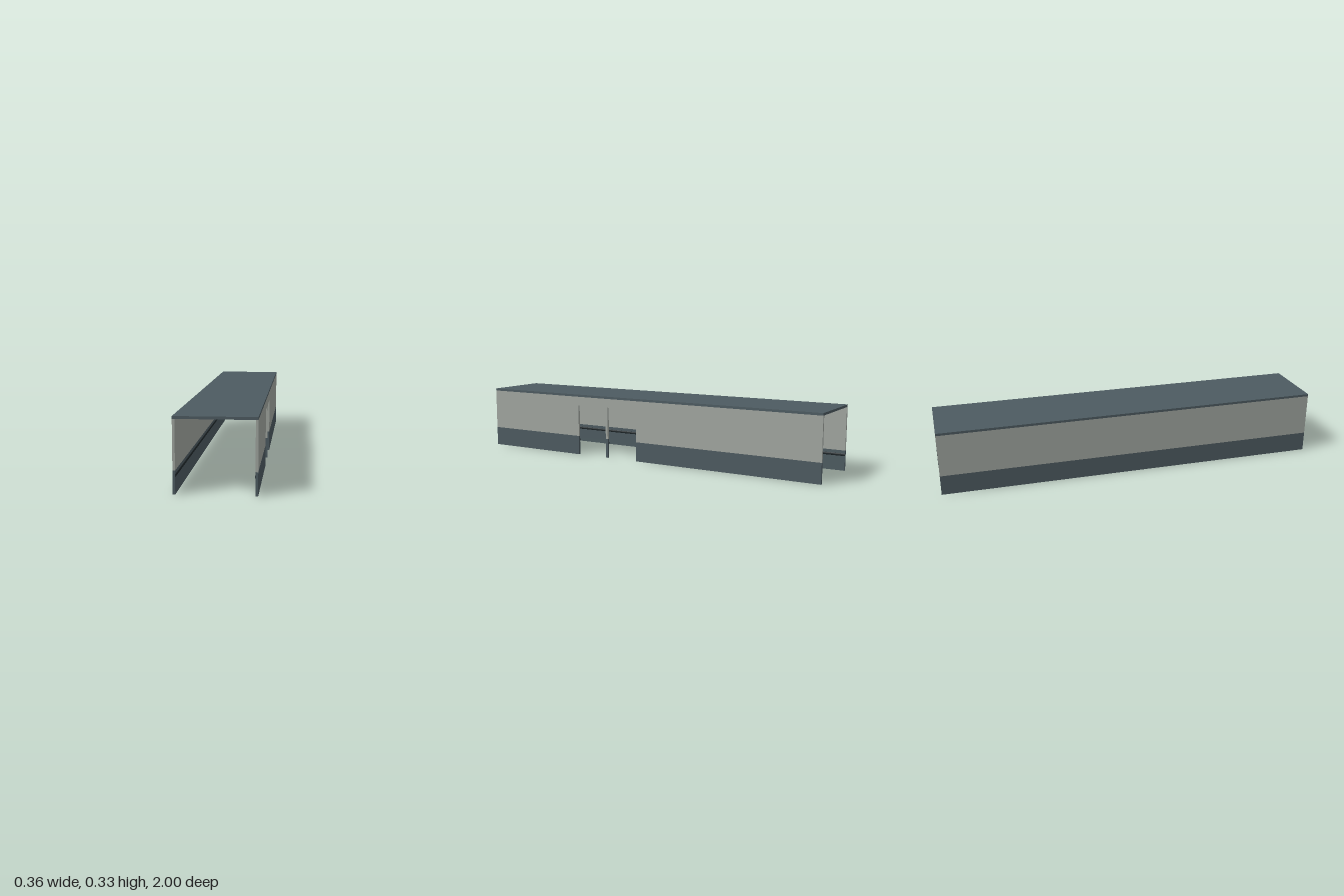
import * as THREE from 'three';

const HALF_W = 0.18, HALF_L = 1, WALL_T = 0.011;
const BAND_Y = 0.103, DOOR_Y = 0.275, ROOF_Y = 0.322, TOP_Y = 0.334;
const RAIL_Y = 0.081;
// Door openings along z, in the left wall
const DOORS = [[0.016, 0.198], [0.211, 0.393]];

function material(name, color) {
  const m = new THREE.MeshStandardMaterial({ color });
  m.name = name;
  return m;
}

export function createModel() {
  const slate = material('slate', 0x4d5b61);
  const pale = material('pale grey', 0xa1a6a0);
  const dark = material('dark rail', 0x20282b);
  const model = new THREE.Group();
  model.name = 'corridor';

  function add(parent, name, geometry, mat, x = 0, y = 0, z = 0) {
    const mesh = new THREE.Mesh(geometry, mat);
    mesh.name = name;
    mesh.position.set(x, y, z);
    parent.add(mesh);
    return mesh;
  }

  // Upper wall panel: an outline in z and y, notched by the doors
  function panelGeometry(doors) {
    const shape = new THREE.Shape();
    shape.moveTo(-HALF_L, BAND_Y);
    for (const [a, b] of doors) {
      shape.lineTo(a, BAND_Y);
      shape.lineTo(a, DOOR_Y);
      shape.lineTo(b, DOOR_Y);
      shape.lineTo(b, BAND_Y);
    }
    shape.lineTo(HALF_L, BAND_Y);
    shape.lineTo(HALF_L, ROOF_Y);
    shape.lineTo(-HALF_L, ROOF_Y);
    shape.closePath();
    const g = new THREE.ExtrudeGeometry(shape, { depth: WALL_T, bevelEnabled: false });
    g.translate(0, 0, -WALL_T / 2);
    g.rotateY(-Math.PI / 2);
    return g;
  }

  // A wall with its lower band and inner handrail, split between the doors
  function addWall(name, side, doors) {
    const wall = new THREE.Group();
    wall.name = name;
    model.add(wall);
    const x = side * (HALF_W - WALL_T / 2);
    add(wall, 'upperPanel', panelGeometry(doors), pale, x);

    const cuts = [-HALF_L, ...doors.flat(), HALF_L];
    for (let i = 0; i < cuts.length; i += 2) {
      const length = cuts[i + 1] - cuts[i];
      const z = (cuts[i] + cuts[i + 1]) / 2;
      add(wall, 'lowerBand', new THREE.BoxGeometry(WALL_T, BAND_Y, length), slate, x, BAND_Y / 2, z);
      const rail = new THREE.CylinderGeometry(1, 1, length, 16);
      rail.rotateX(Math.PI / 2);
      rail.scale(0.003, 0.0065, 1);
      add(wall, 'handrail', rail, dark, side * (HALF_W - WALL_T), RAIL_Y, z);
    }
  }

  addWall('leftWall', 1, DOORS);
  addWall('rightWall', -1, []);

  // Flat roof slab
  add(model, 'roof', new THREE.BoxGeometry(HALF_W * 2, TOP_Y - ROOF_Y, HALF_L * 2), slate, 0, (TOP_Y + ROOF_Y) / 2, 0);

  return model;
}
